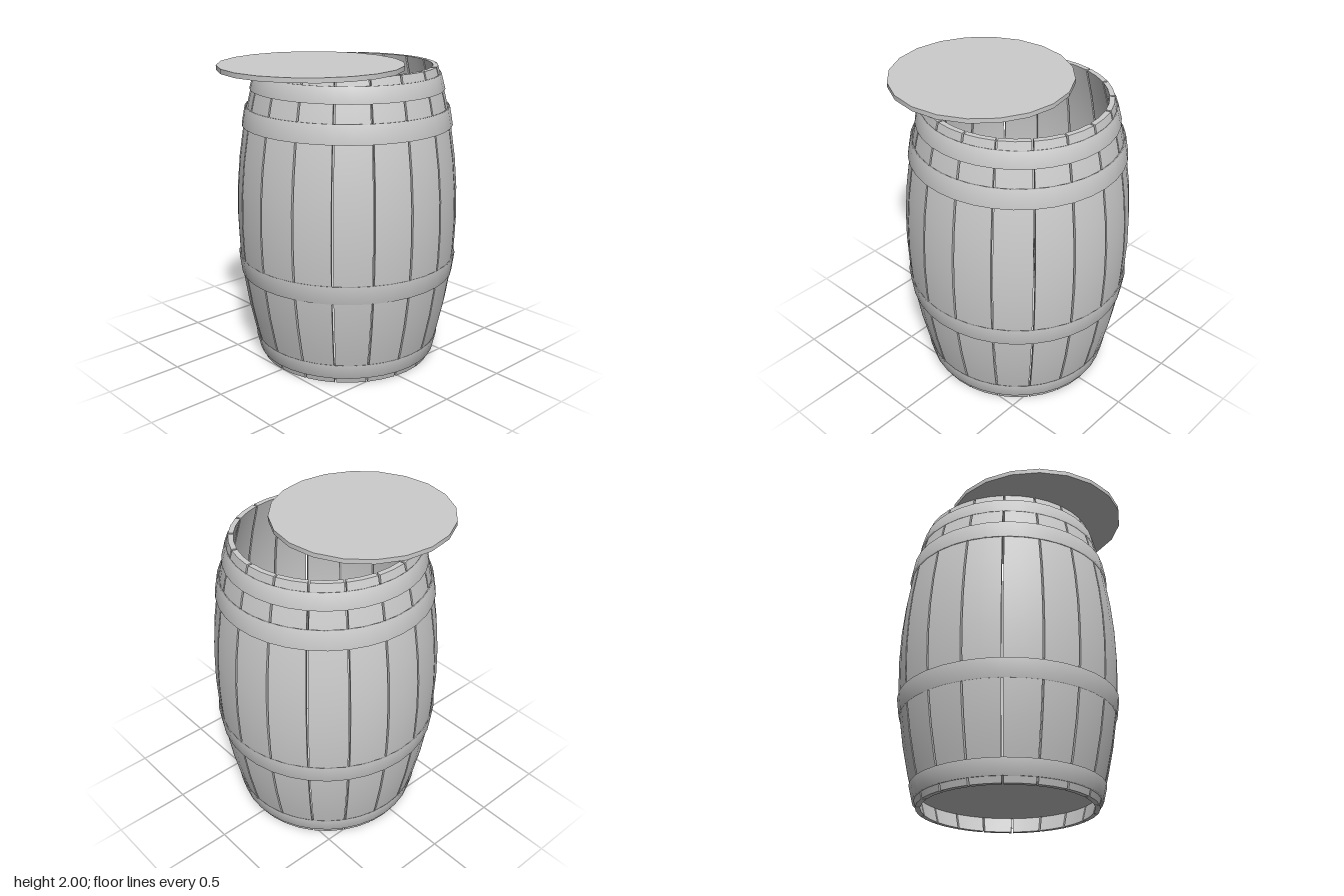
import * as THREE from 'three';

const CENTRE_X = 0.08, HEIGHT = 1.97, STAVES = 18;

// Outer radius of the bulging wall at height y
const wallRadius = (y) => 0.73 - 0.15 * ((y - HEIGHT / 2) / (HEIGHT / 2)) ** 2;

// A box bent round the axis: x becomes angle, z becomes distance from the axis
function staveGeometry() {
  const thickness = 0.033, gap = 0.012;
  const geo = new THREE.BoxGeometry(2, HEIGHT, 1, 2, 10, 1);
  const pos = geo.attributes.position;
  for (let i = 0; i < pos.count; i++) {
    const y = pos.getY(i) + HEIGHT / 2;
    const outer = wallRadius(y);
    const r = pos.getZ(i) > 0 ? outer : outer - thickness;
    const a = pos.getX(i) * (Math.PI / STAVES - gap / 2 / outer);
    pos.setXYZ(i, Math.sin(a) * r, y, Math.cos(a) * r);
  }
  geo.computeVertexNormals();
  return geo;
}

// Thin closed band with sharp rims
function hoopGeometry(y0, r0, y1, r1) {
  const t = 0.014;
  const corners = [[r0 - t, y0], [r0, y0], [r1, y1], [r1 - t, y1], [r0 - t, y0]];
  const points = corners.map(([r, y]) => new THREE.Vector2(r, y));
  return new THREE.LatheGeometry(points, STAVES * 2);
}

export function createModel() {
  const model = new THREE.Group();
  model.name = 'barrel';
  const grey = new THREE.MeshStandardMaterial({ color: 0xcccccc });
  grey.name = 'plainGrey';

  const add = (parent, name, geo, x = 0, y = 0) => {
    const mesh = new THREE.Mesh(geo, grey);
    mesh.name = name;
    mesh.position.set(x, y, 0);
    parent.add(mesh);
    return mesh;
  };

  const body = new THREE.Group();
  body.name = 'body';
  body.position.x = CENTRE_X;
  model.add(body);

  // Ring of staves
  const stave = staveGeometry();
  for (let i = 0; i < STAVES; i++) {
    add(body, 'stave', stave).rotation.y = (i * 2 * Math.PI) / STAVES;
  }

  // Hoops: lower height and radius, upper height and radius
  const hoops = {
    bottomHoop: [0.04, 0.603, 0.14, 0.627],
    lowerHoop: [0.6, 0.714, 0.72, 0.73],
    upperHoop: [1.59, 0.686, 1.71, 0.664],
    topHoop: [1.82, 0.63, 1.92, 0.603],
  };
  for (const [name, dims] of Object.entries(hoops)) add(body, name, hoopGeometry(...dims));

  // Recessed floor
  add(body, 'floor', new THREE.CylinderGeometry(0.575, 0.575, 0.03, 36), 0, 0.115);

  // Lid slid off to one side
  add(model, 'lid', new THREE.CylinderGeometry(0.583, 0.583, 0.03, 20), -0.2275, 1.985);

  return model;
}
